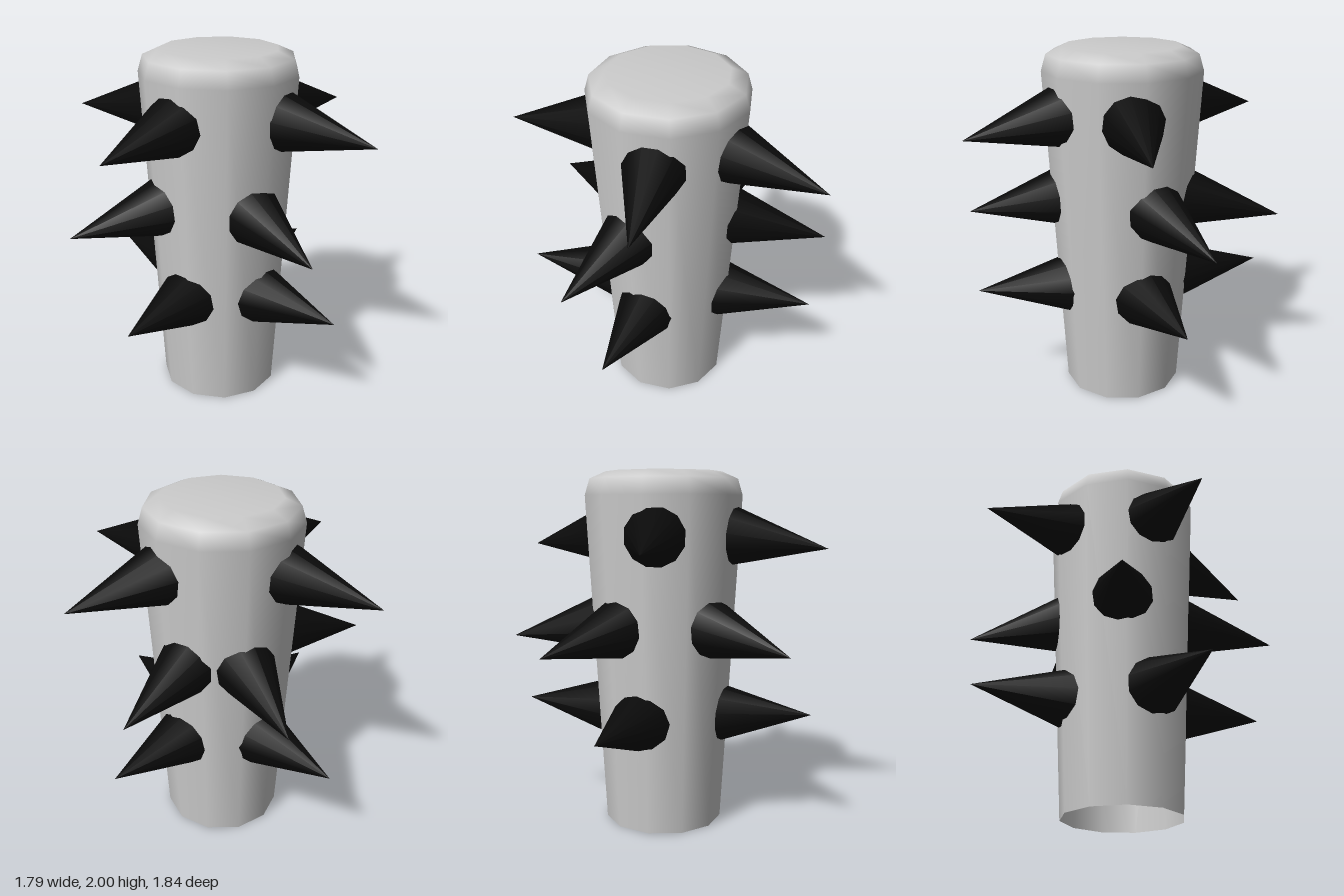
import * as THREE from 'three';

const AXIS_X = -0.01;

export function createModel() {
  const model = new THREE.Group();
  model.name = 'spikedClub';

  const bodyMaterial = new THREE.MeshStandardMaterial({ color: 0xcccccc, side: THREE.DoubleSide });
  const spikeMaterial = new THREE.MeshStandardMaterial({ color: 0x0a0a0a });

  // Tapered eleven-sided shaft with a bevelled top and an open bottom
  const profile = [[0.336, 0], [0.442, 1.87], [0.415, 1.96], [0.325, 2], [0, 2]]
    .map(([r, y]) => new THREE.Vector2(r, y));
  const shaft = new THREE.Mesh(new THREE.LatheGeometry(profile, 11, Math.PI), bodyMaterial);
  shaft.position.x = AXIS_X;
  shaft.name = 'shaft';
  model.add(shaft);

  // Three rows of four spikes: root height, tip height, tips as [x, z]
  const rows = [
    { name: 'upper', rootY: 1.645, tipY: 1.585, tips: [[0.09, 0.915], [0.89, -0.2], [0.12, -0.92], [-0.9, 0.265]] },
    { name: 'middle', rootY: 1.14, tipY: 1.055, tips: [[-0.32, 0.83], [0.84, 0.225], [-0.235, -0.865], [-0.845, -0.315]] },
    { name: 'lower', rootY: 0.64, tipY: 0.65, tips: [[0.14, 0.84], [0.84, 0.01], [-0.1, -0.855], [-0.868, 0]] },
  ];
  const sides = ['Front', 'Left', 'Back', 'Right'];
  for (const row of rows) {
    row.tips.forEach(([x, z], i) => {
      const spike = makeSpike(row.rootY, new THREE.Vector3(x, row.tipY, z), spikeMaterial);
      spike.name = `${row.name}${sides[i]}Spike`;
      model.add(spike);
    });
  }
  return model;
}

// Cone pointing away from the shaft's axis, its base sunk into the wall
function makeSpike(rootY, tip, material) {
  const sunk = 0.12;
  const wallRadius = 0.33 + 0.055 * rootY;
  const out = new THREE.Vector3(tip.x - AXIS_X, 0, tip.z).normalize();
  const root = out.multiplyScalar(wallRadius).add(new THREE.Vector3(AXIS_X, rootY, 0));
  const direction = tip.clone().sub(root);
  const exposed = direction.length();
  direction.normalize();

  const length = exposed + sunk;
  const radius = 0.156 * length / exposed;
  const spike = new THREE.Mesh(new THREE.ConeGeometry(radius, length, 12), material);
  spike.position.copy(tip).addScaledVector(direction, -length / 2);
  spike.quaternion.setFromUnitVectors(new THREE.Vector3(0, 1, 0), direction);
  return spike;
}
